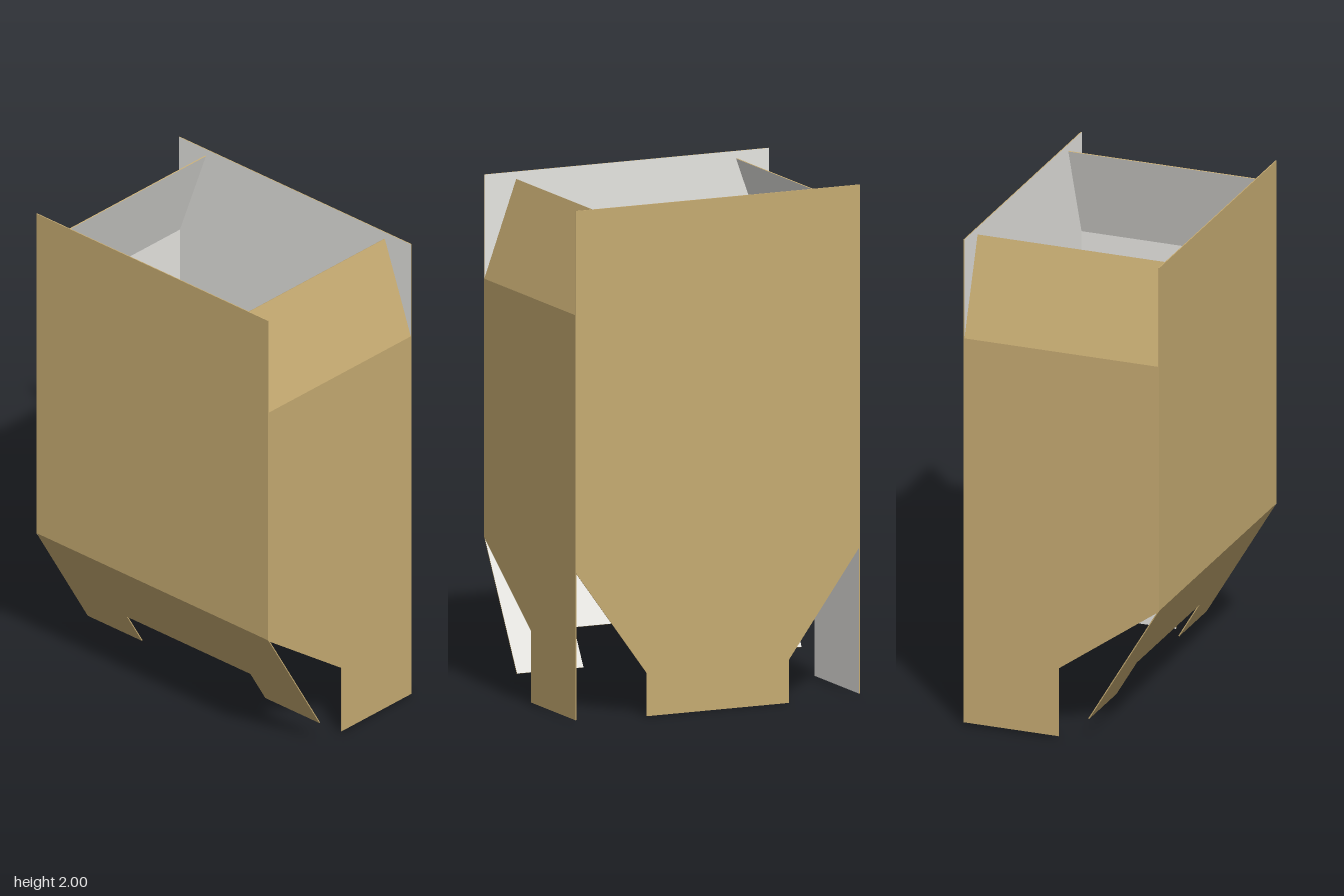
import * as THREE from 'three';

const HALF_W = 0.606, HALF_D = 0.404, BOARD = 0.004;

const cardboard = new THREE.MeshStandardMaterial({ color: 0xc6ab72 });
cardboard.name = 'brown cardboard';
const liner = new THREE.MeshStandardMaterial({ color: 0xe6e5e1 });
liner.name = 'pale grey lining';

// A sheet of board: outer face at z = 0 in brown, inner face in grey
function sheet(name, points) {
  const shape = new THREE.Shape(points.map(([x, y]) => new THREE.Vector2(x, y)));
  const geo = new THREE.ExtrudeGeometry(shape, { depth: BOARD, bevelEnabled: false });
  geo.translate(0, 0, -BOARD);
  const caps = geo.groups[0].count, total = geo.attributes.position.count;
  geo.clearGroups();
  geo.addGroup(0, caps / 2, 1);
  geo.addGroup(caps / 2, total - caps / 2, 0);
  const mesh = new THREE.Mesh(geo, [cardboard, liner]);
  mesh.name = name;
  return mesh;
}

const rect = (half, y0, y1) => [[-half, y0], [half, y0], [half, y1], [-half, y1]];

// One side of the carton: wall plus hinged top and bottom flaps
function side({ name, turn, half, dist, bottom, top, topFlap, topTilt, bottomFlap, bottomTilt }) {
  const group = new THREE.Group();
  group.name = name + 'Side';
  const upper = sheet(name + 'TopFlap', rect(half, 0, topFlap));
  upper.position.y = top;
  upper.rotation.x = -topTilt;
  const lower = sheet(name + 'BottomFlap', bottomFlap);
  lower.position.y = bottom;
  lower.rotation.x = bottomTilt;
  group.add(sheet(name + 'Wall', rect(half, bottom, top)), upper, lower);
  group.rotation.y = turn;
  group.position.set(Math.sin(turn) * dist, 0, Math.cos(turn) * dist);
  return group;
}

export function createModel() {
  const model = new THREE.Group();
  model.name = 'openCarton';

  // Front: notched bottom flap folded inwards
  const w = HALF_W, n = 0.323;
  model.add(side({
    name: 'front', turn: 0, half: w, dist: HALF_D, bottom: 0.587, top: 1.6,
    topFlap: 0.4, topTilt: 0, bottomTilt: 0.535,
    bottomFlap: [[-w, 0], [-w, -0.567], [-n, -0.567], [-n, -0.402],
      [n, -0.402], [n, -0.567], [w, -0.567], [w, 0]],
  }));

  // Back: tapered tongue hanging straight down
  model.add(side({
    name: 'back', turn: Math.PI, half: w, dist: HALF_D, bottom: 0.587, top: 1.6,
    topFlap: 0.4, topTilt: 0, bottomTilt: 0,
    bottomFlap: [[-w, 0], [-0.303, -0.418], [-0.303, -0.587],
      [0.303, -0.587], [0.303, -0.418], [w, 0]],
  }));

  // Ends: top flaps lean inwards, bottom flaps are cut away towards the front
  for (const s of [1, -1]) {
    model.add(side({
      name: s > 0 ? 'left' : 'right', turn: s * Math.PI / 2, half: HALF_D - 0.001, dist: HALF_W,
      bottom: 0.583, top: 1.593, topFlap: 0.402, topTilt: 0.345, bottomTilt: 0,
      bottomFlap: [[-0.403, 0], [0.01, -0.293], [0.01, -0.573], [0.403, -0.573], [0.403, 0]]
        .map(([x, y]) => [s * x, y]),
    }));
  }
  return model;
}
